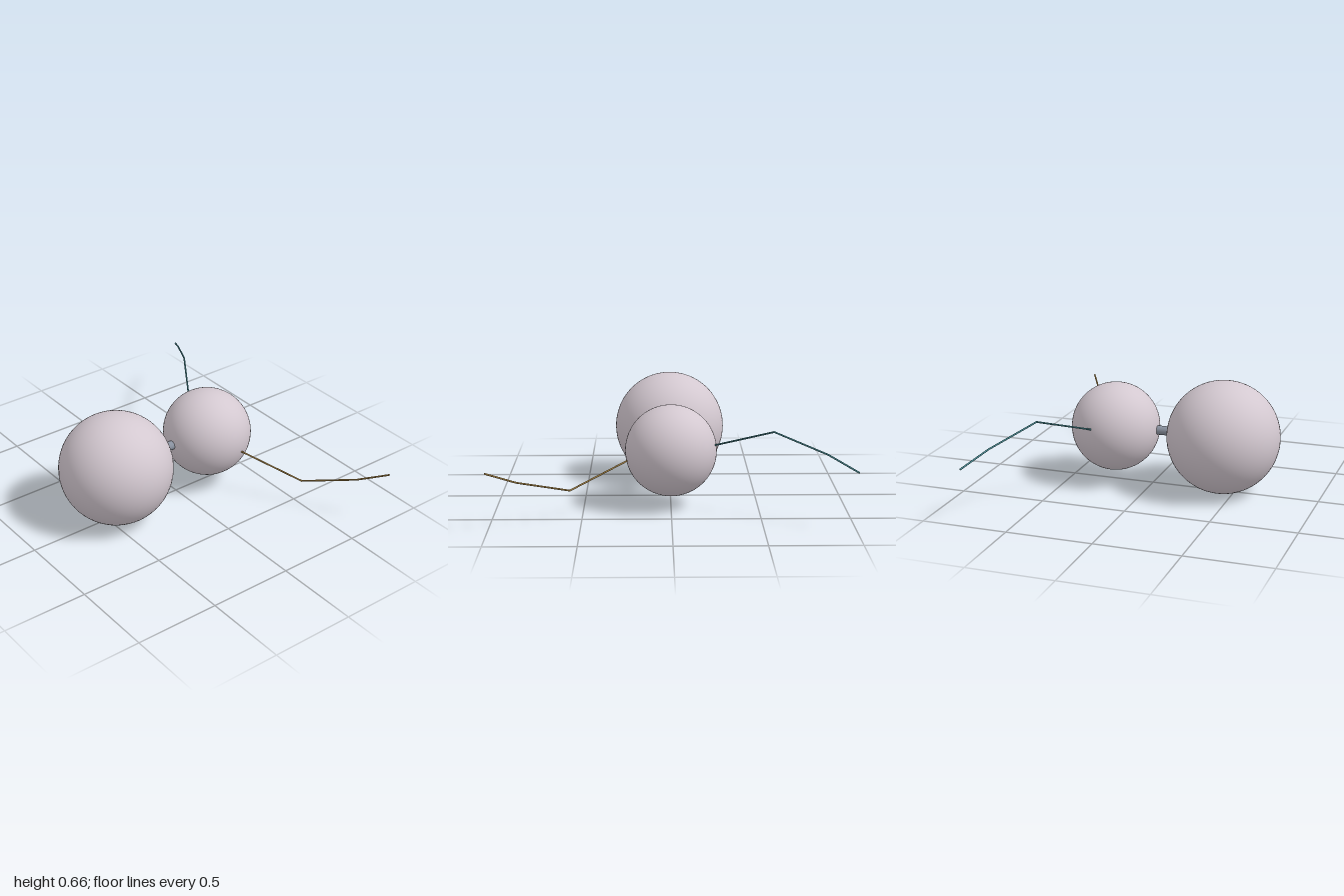
import * as THREE from 'three';

const CY = 0.335; // height of the common axis

const mat = (name, color) => {
  const m = new THREE.MeshStandardMaterial({ color });
  m.name = name;
  return m;
};

export function createModel() {
  const group = new THREE.Group();
  group.name = 'linkedSpheres';
  const shell = mat('pale mauve', 0xd3c8d0);
  const steel = mat('grey blue', 0x8a92a0);
  const gold = mat('gold', 0xb8924e);
  const teal = mat('teal', 0x4a8f98);

  const add = (name, geometry, material, parent = group) => {
    const mesh = new THREE.Mesh(geometry, material);
    mesh.name = name;
    parent.add(mesh);
    return mesh;
  };

  // Two balls
  add('largeBall', new THREE.SphereGeometry(0.33, 64, 40), shell).position.set(-0.43, CY, 0);
  add('smallBall', new THREE.SphereGeometry(0.262, 64, 40), shell).position.set(0.232, CY, 0);

  // Short rod joining the balls
  const rod = add('connectingRod', new THREE.CylinderGeometry(0.027, 0.027, 0.2, 24), steel);
  rod.rotation.z = Math.PI / 2;
  rod.position.set(-0.065, CY, 0);

  // Bent wires: offsets from the axis height, mirrored in y and z for the back one
  const path = [[0.232, -0.005, 0.14], [0.297, -0.045, 0.25], [0.495, -0.165, 0.565], [0.66, -0.075, 0.845], [0.757, 0, 1]];
  const wire = (name, material, s) => {
    const points = path.map(([x, y, z]) => new THREE.Vector3(x, CY + s * y, s * z));
    const curve = new THREE.CurvePath();
    for (let i = 1; i < points.length; i++) curve.add(new THREE.LineCurve3(points[i - 1], points[i]));
    const part = new THREE.Group();
    part.name = name;
    group.add(part);
    curve.curves.forEach((line, i) => {
      add(`${name}Segment${i + 1}`, new THREE.TubeGeometry(line, 1, 0.005, 10), material, part);
      // Round joint or tip
      add(`${name}Joint${i + 1}`, new THREE.SphereGeometry(0.005, 10, 8), material, part).position.copy(line.v2);
    });
  };
  wire('frontWire', gold, 1);
  wire('backWire', teal, -1);

  return group;
}
